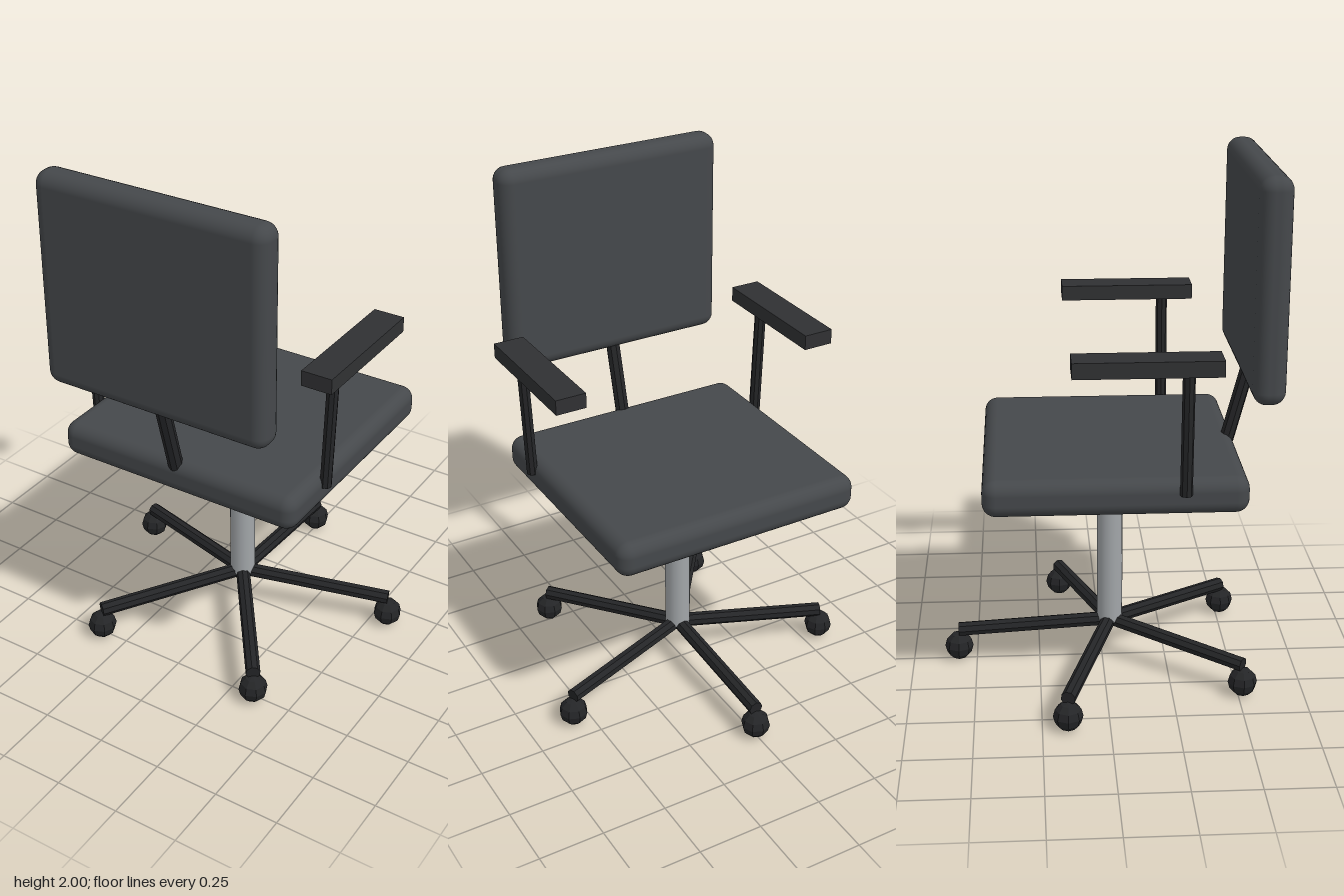
import * as THREE from 'three';
import { RoundedBoxGeometry } from 'three/addons/geometries/RoundedBoxGeometry.js';

const AXIS_Z = 0.03; // centre line of the column and star base

export function createModel() {
  const chair = new THREE.Group();
  chair.name = 'officeChair';

  const padding = new THREE.MeshStandardMaterial({ color: 0x45484b });
  const frame = new THREE.MeshStandardMaterial({ color: 0x242527, flatShading: true });
  const armrest = new THREE.MeshStandardMaterial({ color: 0x303133 });
  const metal = new THREE.MeshStandardMaterial({ color: 0xa2a6a9 });

  function add(parent, name, geometry, material, x, y, z) {
    const mesh = new THREE.Mesh(geometry, material);
    mesh.name = name;
    mesh.position.set(x, y, z);
    parent.add(mesh);
    return mesh;
  }

  // Straight bar running between two points
  function addBar(parent, name, from, to, radius) {
    const a = new THREE.Vector3(...from);
    const b = new THREE.Vector3(...to);
    const dir = b.clone().sub(a);
    const mid = a.clone().add(b).multiplyScalar(0.5);
    const geometry = new THREE.CylinderGeometry(radius, radius, dir.length(), 8);
    const bar = add(parent, name, geometry, frame, mid.x, mid.y, mid.z);
    bar.quaternion.setFromUnitVectors(new THREE.Vector3(0, 1, 0), dir.normalize());
  }

  // Cushions
  add(chair, 'seat', new RoundedBoxGeometry(1, 0.138, 0.955, 4, 0.05), padding, 0, 0.871, 0.025);
  add(chair, 'backrest', new RoundedBoxGeometry(0.916, 0.812, 0.118, 4, 0.05), padding, 0, 1.594, 0.566);
  addBar(chair, 'backrestSupport', [0, 0.91, 0.477], [0, 1.27, 0.57], 0.028);

  // Armrests, mirrored left and right
  for (const side of [1, -1]) {
    const arm = new THREE.Group();
    arm.name = side > 0 ? 'leftArm' : 'rightArm';
    addBar(arm, 'armPost', [side * 0.502, 0.887, 0.27], [side * 0.521, 1.36, 0.27], 0.0225);
    add(arm, 'armPad', new THREE.BoxGeometry(0.118, 0.058, 0.522), armrest, side * 0.518, 1.374, 0.126);
    chair.add(arm);
  }

  // Column
  add(chair, 'column', new THREE.CylinderGeometry(0.05, 0.05, 0.66, 16), metal, 0, 0.49, AXIS_Z);

  // Five-legged star base with casters
  const base = new THREE.Group();
  base.name = 'starBase';
  for (let i = 0; i < 5; i++) {
    const angle = (i / 5) * Math.PI * 2;
    const x = 0.6 * Math.sin(angle);
    const z = AXIS_Z - 0.6 * Math.cos(angle);
    addBar(base, 'baseLeg', [0, 0.16, AXIS_Z], [x, 0.126, z], 0.028);
    add(base, 'caster', new THREE.SphereGeometry(0.056, 8, 6), frame, x, 0.056, z);
  }
  chair.add(base);

  return chair;
}
